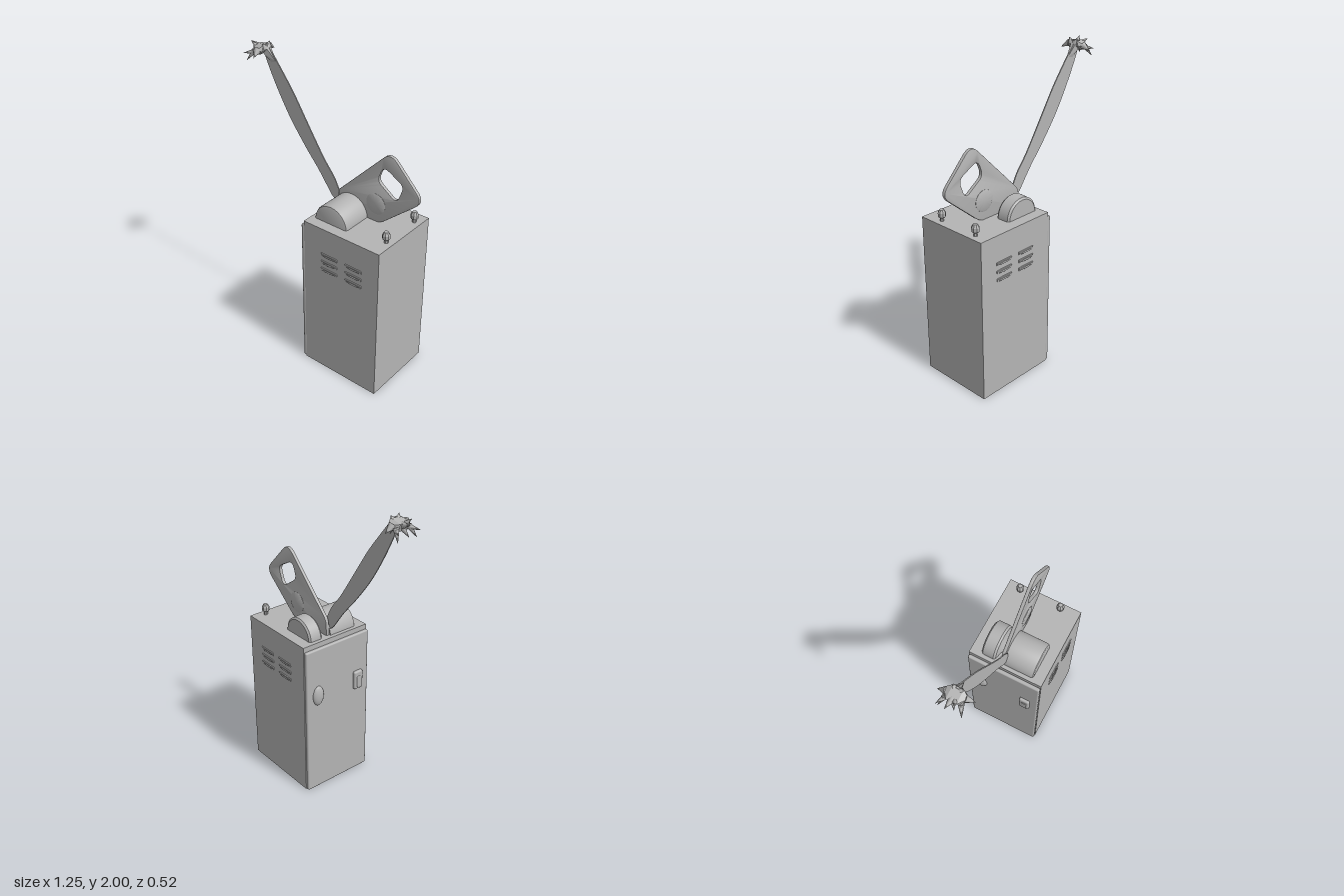
import * as THREE from 'three';
import { toCreasedNormals } from 'three/addons/utils/BufferGeometryUtils.js';
import { RoundedBoxGeometry } from 'three/addons/geometries/RoundedBoxGeometry.js';
import { ConvexGeometry } from 'three/addons/geometries/ConvexGeometry.js';

const V3 = (p) => new THREE.Vector3(...p);
const V2 = (p) => new THREE.Vector2(...p);

// Closed polygon path with rounded corners: points are [x, y, radius]
function rounded(path, pts) {
  pts.forEach((p, i) => {
    const c = V2([p[0], p[1]]);
    const before = pts[(i + pts.length - 1) % pts.length];
    const after = pts[(i + 1) % pts.length];
    const a = V2([before[0], before[1]]).sub(c).setLength(p[2]).add(c);
    const b = V2([after[0], after[1]]).sub(c).setLength(p[2]).add(c);
    if (i === 0) path.moveTo(a.x, a.y);
    else path.lineTo(a.x, a.y);
    path.quadraticCurveTo(c.x, c.y, b.x, b.y);
  });
  path.closePath();
  return path;
}

// Lathe turned so that its axis runs along z; profile is [radius, z]
function latheZ(profile) {
  const g = new THREE.LatheGeometry(profile.map(V2), 48);
  g.rotateX(Math.PI / 2);
  return toCreasedNormals(g, 0.6);
}

export function createModel() {
  const model = new THREE.Group();
  const grey = new THREE.MeshStandardMaterial({ color: 0xb4b4b4 });
  grey.name = 'grey metal';

  const add = (name, geometry, x = 0, y = 0, z = 0) => {
    const mesh = new THREE.Mesh(geometry, grey);
    mesh.name = name;
    mesh.position.set(x, y, z);
    model.add(mesh);
    return mesh;
  };

  // Cabinet and its side door
  add('cabinet', new THREE.BoxGeometry(0.56, 1.07, 0.5), 0.275, 0.535, 0);
  add('door', new RoundedBoxGeometry(0.026, 1.04, 0.496, 3, 0.01), -0.017, 0.52, 0);

  // Door hardware: an oval lock and a latch
  const lock = add('lock', new THREE.SphereGeometry(1, 20, 14), -0.028, 0.71, -0.16);
  lock.scale.set(0.024, 0.07, 0.042);
  add('latch', new RoundedBoxGeometry(0.03, 0.13, 0.07, 3, 0.012), -0.034, 0.71, 0.16);
  add('latchGrip', new RoundedBoxGeometry(0.014, 0.08, 0.035, 2, 0.006), -0.046, 0.7, 0.16);

  // Louvres on the front and back
  const louvreGeo = new THREE.SphereGeometry(1, 20, 10);
  for (const side of [-1, 1]) {
    for (const x of [0.19, 0.373]) {
      for (const y of [0.888, 0.835, 0.782]) {
        const louvre = add('louvre', new RoundedBoxGeometry(0.122, 0.022, 0.01, 2, 0.004), x, y, side * 0.25);
        louvre.rotation.x = side * 0.25;
        const lip = add('louvreLip', louvreGeo, x, y - 0.006, side * 0.251);
        lip.scale.set(0.058, 0.007, 0.007);
      }
    }
  }

  // Lifting bolts on the roof
  const boltProfile = [[0, 0], [0.013, 0], [0.013, 0.022], [0.024, 0.03], [0.025, 0.055], [0.014, 0.075], [0, 0.078]];
  for (const z of [-0.16, 0.123]) {
    const bolt = add('roofBolt', toCreasedNormals(new THREE.LatheGeometry(boltProfile.map(V2), 8), 0.5), 0.51, 1.068, z);
    bolt.rotation.y = Math.PI / 8;
  }

  // Drums either side of the counterweight, half sunk in the roof
  add('frontDrum', latheZ([[0, -0.02], [0.122, -0.02], [0.122, 0.164], [0.117, 0.176], [0.106, 0.18], [0, 0.18]]), 0.142, 1.068, 0);
  add('backDrum', latheZ([[0, -0.178], [0.108, -0.178], [0.12, -0.168], [0.122, -0.095], [0.112, -0.082],
    [0.06, -0.07], [0.045, -0.06], [0.045, -0.035], [0, -0.035]]), 0.142, 1.068, 0);

  // Counterweight plate with its grip hole
  const plate = rounded(new THREE.Shape(), [
    [0.03, 1.06, 0.01], [0.35, 1.06, 0.06], [0.65, 1.315, 0.07], [0.415, 1.56, 0.07], [0.035, 1.175, 0.03],
  ]);
  plate.holes.push(rounded(new THREE.Path(), [
    [0.37, 1.455, 0.045], [0.515, 1.375, 0.04], [0.47, 1.25, 0.045], [0.33, 1.35, 0.04],
  ]));
  add('counterweight', toCreasedNormals(new THREE.ExtrudeGeometry(plate, {
    depth: 0.015, bevelThickness: 0.004, bevelSize: 0.004, bevelOffset: -0.004, bevelSegments: 2, curveSegments: 8,
  }), 0.5), 0, 0, -0.039);
  add('counterweightBoss', latheZ([[0, -0.017], [0.06, -0.017], [0.068, -0.013], [0.068, 0.013], [0.06, 0.017], [0, 0.017]]),
    0.325, 1.19, -0.0315);

  // Flat swinging arm, wider in the middle
  const arm = new THREE.Shape();
  arm.moveTo(0.05, 1.09);
  arm.lineTo(-0.005, 1.14);
  arm.splineThru([[-0.1, 1.27], [-0.21, 1.4], [-0.33, 1.56], [-0.425, 1.72], [-0.5, 1.87], [-0.525, 1.94]].map(V2));
  arm.lineTo(-0.48, 1.965);
  arm.splineThru([[-0.39, 1.85], [-0.3, 1.73], [-0.21, 1.59], [-0.13, 1.465], [-0.06, 1.36], [0.015, 1.265], [0.055, 1.19]].map(V2));
  add('arm', toCreasedNormals(new THREE.ExtrudeGeometry(arm, { depth: 0.007, bevelEnabled: false, curveSegments: 4 }), 0.5), 0, 0, -0.0145);

  // Star-shaped head at the arm's tip
  const head = new THREE.Group();
  head.name = 'head';
  model.add(head);
  const headPart = (name, geometry) => {
    const mesh = new THREE.Mesh(geometry, grey);
    mesh.name = name;
    head.add(mesh);
  };
  headPart('headBody', new ConvexGeometry([
    [-0.49, 1.985, -0.03], [-0.49, 1.985, 0.03], [-0.49, 1.95, -0.045], [-0.49, 1.95, 0.045],
    [-0.57, 1.97, -0.03], [-0.57, 1.97, 0.03], [-0.555, 1.925, -0.05], [-0.555, 1.925, 0.05],
    [-0.515, 1.925, -0.04], [-0.515, 1.925, 0.04], [-0.515, 1.96, -0.07], [-0.515, 1.96, 0.07],
  ].map(V3)));
  headPart('headNeck', new ConvexGeometry([
    [-0.5, 1.985, -0.03], [-0.5, 1.985, 0.015], [-0.51, 1.93, -0.03], [-0.51, 1.93, 0.015],
    [-0.43, 1.89, -0.013], [-0.43, 1.89, -0.006], [-0.46, 1.87, -0.01],
  ].map(V3)));

  // Each spike runs from a root to a tip
  const spikes = [
    [[-0.55, 1.955, -0.005], [-0.622, 1.975, -0.01], 0.022],
    [[-0.545, 1.94, -0.04], [-0.605, 1.925, -0.075], 0.018],
    [[-0.545, 1.94, 0.04], [-0.612, 1.925, 0.08], 0.018],
    [[-0.55, 1.945, -0.045], [-0.595, 1.88, -0.07], 0.018],
    [[-0.55, 1.945, 0.045], [-0.595, 1.88, 0.07], 0.018],
    [[-0.55, 1.94, 0], [-0.585, 1.89, 0.02], 0.018],
    [[-0.525, 1.955, -0.05], [-0.53, 1.925, -0.104], 0.024],
    [[-0.52, 1.955, 0.05], [-0.505, 1.925, 0.104], 0.024],
    [[-0.555, 1.96, 0.015], [-0.59, 1.995, 0.03], 0.016],
    [[-0.5, 1.965, -0.015], [-0.492, 2.0, -0.03], 0.022],
    [[-0.5, 1.965, 0.015], [-0.492, 2.0, 0.03], 0.022],
  ];
  for (const [root, tip, radius] of spikes) {
    const a = V3(root);
    const b = V3(tip);
    const length = a.distanceTo(b);
    const cone = new THREE.ConeGeometry(radius, length, 8);
    cone.translate(0, length / 2, 0);
    cone.applyQuaternion(new THREE.Quaternion().setFromUnitVectors(V3([0, 1, 0]), b.clone().sub(a).normalize()));
    cone.translate(a.x, a.y, a.z);
    headPart('headSpike', cone);
  }

  return model;
}
